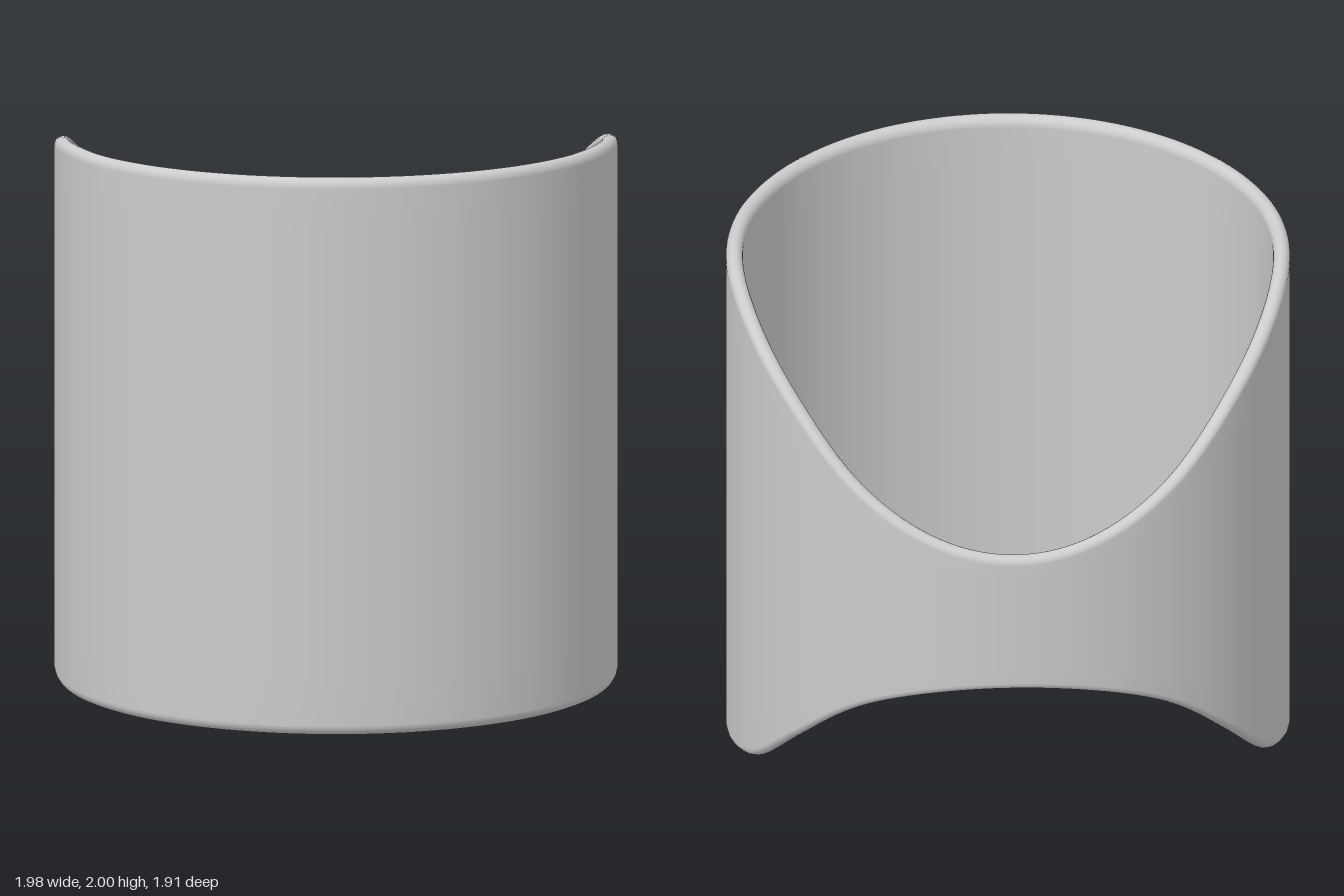
import * as THREE from 'three';

// Rim heights along z, from the narrow back to the tall front
const zs = [-0.955, -0.8, -0.6, -0.4, -0.2, 0, 0.2, 0.5, 0.955];
const topRim = new THREE.CubicInterpolant(zs, [1.25, 1.44, 1.675, 1.83, 1.93, 1.972, 1.987, 1.992, 2], 1);
const bottomRim = new THREE.CubicInterpolant(zs, [0.72, 0.575, 0.35, 0.165, 0.09, 0.055, 0.032, 0.018, 0.005], 1);

const SEGMENTS = 160, WALL = 12, ROUND = 10;

// Closed wall section: outer wall up, rounded top, inner wall down, rounded bottom.
// Each entry: s = -1 inner .. 1 outer, t = 0 bottom .. 1 top, e = rounding offset in y
function wallSection() {
  const pts = [];
  for (let k = 0; k < WALL; k++) pts.push({ s: 1, t: k / WALL, e: 0 });
  for (let k = 0; k < ROUND; k++) {
    const a = Math.PI * k / ROUND;
    pts.push({ s: Math.cos(a), t: 1, e: Math.sin(a) });
  }
  for (let k = 0; k < WALL; k++) pts.push({ s: -1, t: 1 - k / WALL, e: 0 });
  for (let k = 0; k < ROUND; k++) {
    const a = Math.PI * k / ROUND;
    pts.push({ s: -Math.cos(a), t: 0, e: -Math.sin(a) });
  }
  return pts;
}

function bandGeometry() {
  const section = wallSection(), n = section.length;
  const pos = [], index = [];
  for (let i = 0; i < SEGMENTS; i++) {
    const a = (i / SEGMENTS) * Math.PI * 2;
    const sx = Math.sin(a), cz = Math.cos(a);
    const z = 0.955 * cz;
    const half = 0.030 + 0.003 * cz; // slightly thicker at the front
    const rim = half * 1.1;
    const high = topRim.evaluate(z)[0] - rim;
    const low = bottomRim.evaluate(z)[0] + rim;
    for (const { s, t, e } of section) {
      const inset = half * (1 - s);
      const y = low + (high - low) * t + e * rim;
      pos.push((0.992 - inset) * sx - 0.003, y, (0.955 - inset) * cz);
    }
    const next = ((i + 1) % SEGMENTS) * n;
    for (let j = 0; j < n; j++) {
      const k = (j + 1) % n, p = i * n;
      index.push(p + j, next + j, next + k, p + j, next + k, p + k);
    }
  }
  const g = new THREE.BufferGeometry();
  g.setAttribute('position', new THREE.Float32BufferAttribute(pos, 3));
  g.setIndex(index);
  g.computeVertexNormals();
  return g;
}

export function createModel() {
  const group = new THREE.Group();
  group.name = 'cuffRing';
  const band = new THREE.Mesh(bandGeometry(), new THREE.MeshStandardMaterial({ color: 0xcccccc }));
  band.name = 'band';
  group.add(band);
  return group;
}
